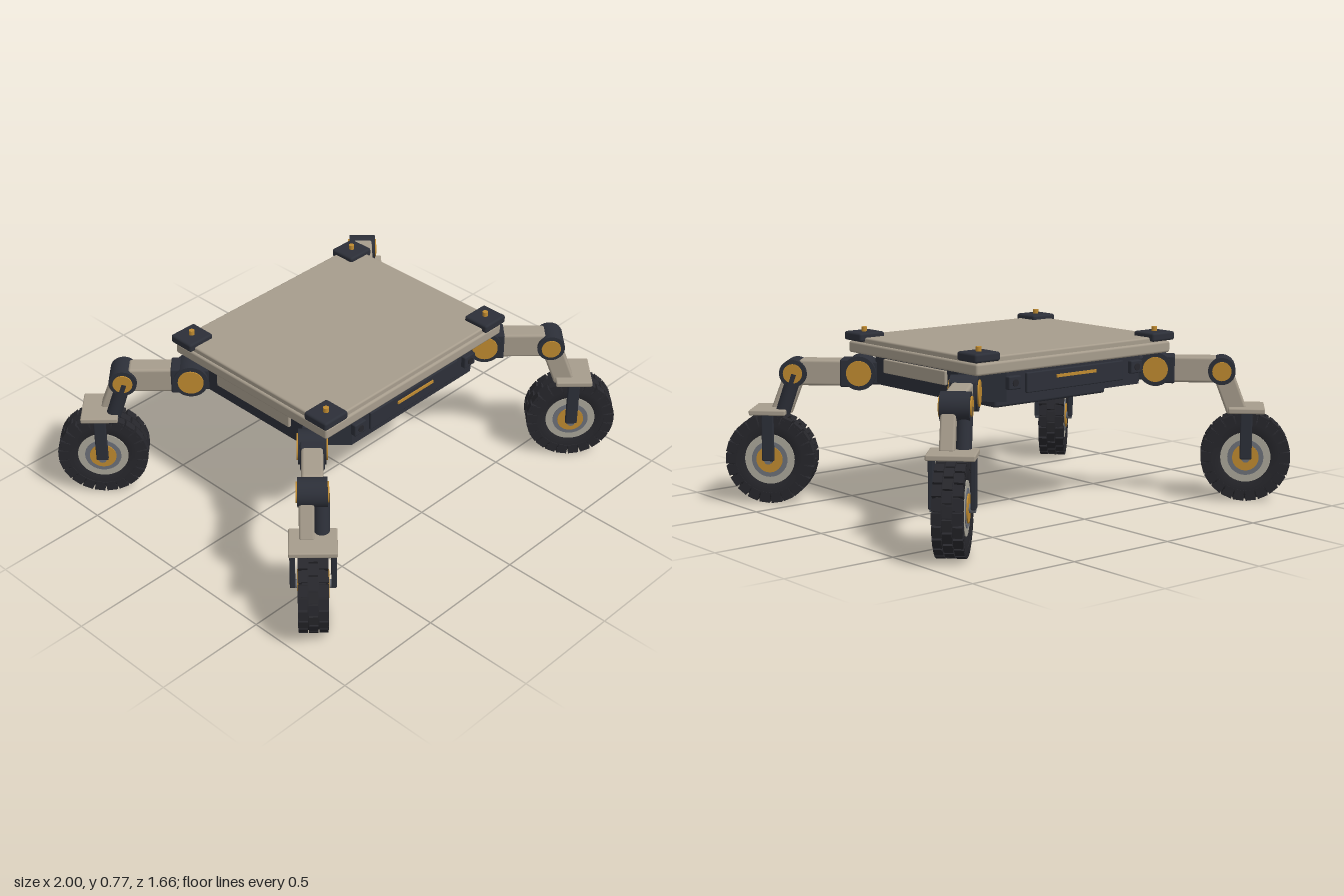
import * as THREE from 'three';
import { RoundedBoxGeometry } from 'three/addons/geometries/RoundedBoxGeometry.js';

const paint = (name, color) => {
  const m = new THREE.MeshStandardMaterial({ color });
  m.name = name;
  return m;
};

export function createModel() {
  const beige = paint('beige panel', 0xa69c8c);
  const dark = paint('dark frame', 0x2c2f38);
  const rubber = paint('tyre rubber', 0x27272c);
  const gold = paint('gold accent', 0xbf8a30);
  const rim = paint('rim grey', 0xaaa699);
  const steel = paint('steel', 0x6c7078);

  const add = (parent, name, geo, mat, x = 0, y = 0, z = 0) => {
    const mesh = new THREE.Mesh(geo, mat);
    mesh.name = name;
    mesh.position.set(x, y, z);
    parent.add(mesh);
    return mesh;
  };
  const box = (w, h, d, r = 0.008) =>
    r ? new RoundedBoxGeometry(w, h, d, 2, r) : new THREE.BoxGeometry(w, h, d);
  // cylinder lying along z
  const drum = (r, len, seg = 32) => new THREE.CylinderGeometry(r, r, len, seg).rotateX(Math.PI / 2);

  const model = new THREE.Group();
  model.name = 'rover';

  // Chassis: a flat box with cut corners that make room for the hips
  const chassis = new THREE.Group();
  chassis.name = 'chassis';
  model.add(chassis);
  const X = 0.51, Z = 0.43, cut = 0.14;
  const outline = new THREE.Shape([
    [X, Z - cut], [X - cut, Z], [cut - X, Z], [-X, Z - cut],
    [-X, cut - Z], [cut - X, -Z], [X - cut, -Z], [X, cut - Z],
  ].map(([x, z]) => new THREE.Vector2(x, z)));
  const hull = new THREE.ExtrudeGeometry(outline, { depth: 0.132, bevelEnabled: false });
  add(chassis, 'hull', hull.rotateX(-Math.PI / 2), dark, 0, 0.533);
  add(chassis, 'bellyPan', box(0.62, 0.07, 0.568, 0.012), dark, 0, 0.515);

  // Deck in two steps with a pad on each corner
  add(chassis, 'deckTray', box(1.08, 0.05, 0.9, 0.01), beige, 0, 0.682);
  add(chassis, 'deckTop', box(1.06, 0.045, 0.88, 0.008), beige, 0, 0.7075);
  for (const sx of [-1, 1]) {
    for (const sz of [-1, 1]) {
      add(chassis, 'cornerPad', box(0.13, 0.038, 0.124, 0.01), dark, sx * 0.49, 0.731, sz * 0.4);
      add(chassis, 'padBolt', drum(0.012, 0.022, 16).rotateX(Math.PI / 2), gold, sx * 0.49, 0.759, sz * 0.4);
    }
    add(chassis, 'sidePanel', box(0.02, 0.06, 0.434, 0.005), beige, sx * 0.513, 0.62, 0);
  }

  // Front and back fascia
  for (const s of [-1, 1]) {
    add(chassis, 'fascia', box(0.54, 0.085, 0.02, 0.005), dark, 0, 0.603, s * 0.432);
    add(chassis, 'lightStrip', box(0.22, 0.013, 0.008, 0), gold, 0, 0.617, s * 0.443);
    for (const sx of [-1, 1]) {
      add(chassis, 'sensor', box(0.066, 0.056, 0.03, 0.006), dark, sx * 0.34, 0.612, s * 0.437);
      add(chassis, 'sensorLens', drum(0.015, 0.006, 20), rubber, sx * 0.34, 0.612, s * 0.453);
    }
  }

  // Wheel, centred on its axle along z
  const R = 0.184, W = 0.058;
  const tyreGeo = new THREE.LatheGeometry([
    [0.1, -0.045], [0.115, -0.054], [0.15, -W], [0.17, -0.055], [R, -0.042],
    [R, 0.042], [0.17, 0.055], [0.15, W], [0.115, 0.054], [0.1, 0.045],
  ].map(([r, y]) => new THREE.Vector2(r, y)), 48).rotateX(Math.PI / 2);
  const blockGeo = box(0.026, 0.046, 0.037, 0);
  const shoulderGeo = box(0.035, 0.04, 0.014, 0);

  function makeWheel() {
    const wheel = new THREE.Group();
    wheel.name = 'wheel';
    add(wheel, 'tyre', tyreGeo, rubber);
    const n = 22;
    for (let i = 0; i < n; i++) {
      for (const row of [-1, 0, 1]) {
        const a = ((i + (row ? 0 : 0.5)) / n) * Math.PI * 2;
        const block = add(wheel, 'treadBlock', blockGeo, rubber,
          Math.cos(a) * 0.182, Math.sin(a) * 0.182, row * 0.041);
        block.rotation.z = a;
        if (!row) continue;
        const lug = add(wheel, 'shoulderLug', shoulderGeo, rubber,
          Math.cos(a) * 0.167, Math.sin(a) * 0.167, row * 0.054);
        lug.rotation.z = a;
      }
    }
    add(wheel, 'rimDisc', drum(0.11, 0.112, 40), rim);
    add(wheel, 'rimRecess', drum(0.079, 0.118, 32), steel);
    add(wheel, 'hub', drum(0.058, 0.128, 32), gold);
    add(wheel, 'axle', drum(0.018, 0.18, 20), steel);
    return wheel;
  }

  // Leg: local +x points outwards, joint axes run along z
  const kneeX = 0.29, wheelX = 0.4, hipY = 0.58, kneeY = 0.575;
  const joint = (leg, name, x, y, r, len, capR) => {
    add(leg, name, drum(r, len), dark, x, y);
    add(leg, name + 'Cap', drum(capR, len + 0.012), gold, x, y);
  };
  // places a vertical part so it runs from the knee down to the fork plate
  const lean = (mesh, x0, y0, x1, y1) => {
    mesh.position.x = (x0 + x1) / 2;
    mesh.position.y = (y0 + y1) / 2;
    mesh.rotation.z = Math.atan2(x1 - x0, y0 - y1);
  };

  function makeLeg() {
    const leg = new THREE.Group();
    leg.name = 'leg';
    add(leg, 'hipMount', box(0.13, 0.1, 0.085), dark, -0.06, hipY);
    joint(leg, 'hip', 0, hipY, 0.074, 0.115, 0.055);
    add(leg, 'hipCollar', box(0.05, 0.122, 0.1), dark, 0.06, hipY - 0.002);
    add(leg, 'upperArm', box(0.2, 0.114, 0.088, 0.012), beige, 0.165, 0.578);
    joint(leg, 'knee', kneeX, kneeY, 0.06, 0.12, 0.042);

    const shank = add(leg, 'shank', box(0.088, 0.175, 0.062, 0.01), beige, 0, 0, 0.024);
    lean(shank, 0.297, 0.56, 0.357, 0.4);
    const strut = add(leg, 'strut', new THREE.CylinderGeometry(0.032, 0.032, 0.18, 24), dark, 0, 0, -0.036);
    lean(strut, 0.285, 0.57, 0.34, 0.405);

    // Fork over the wheel
    add(leg, 'forkPlate', box(0.16, 0.024, 0.196, 0.006), beige, wheelX, 0.406);
    for (const s of [-1, 1]) {
      add(leg, 'forkArm', box(0.052, 0.21, 0.022, 0.005), dark, wheelX, 0.297, s * 0.083);
    }
    const wheel = makeWheel();
    wheel.position.set(wheelX, 0.195, 0);
    leg.add(wheel);
    return leg;
  }

  // Four legs, each turned to point out of its own corner
  for (const [name, sx, sz, turn] of [
    ['frontLeftLeg', 1, 1, -1], ['backLeftLeg', 1, -1, 1],
    ['frontRightLeg', -1, 1, -3], ['backRightLeg', -1, -1, 3],
  ]) {
    const leg = makeLeg();
    leg.name = name;
    leg.position.set(sx * 0.535, 0, sz * 0.365);
    leg.rotation.y = (turn * Math.PI) / 4;
    model.add(leg);
  }
  return model;
}
